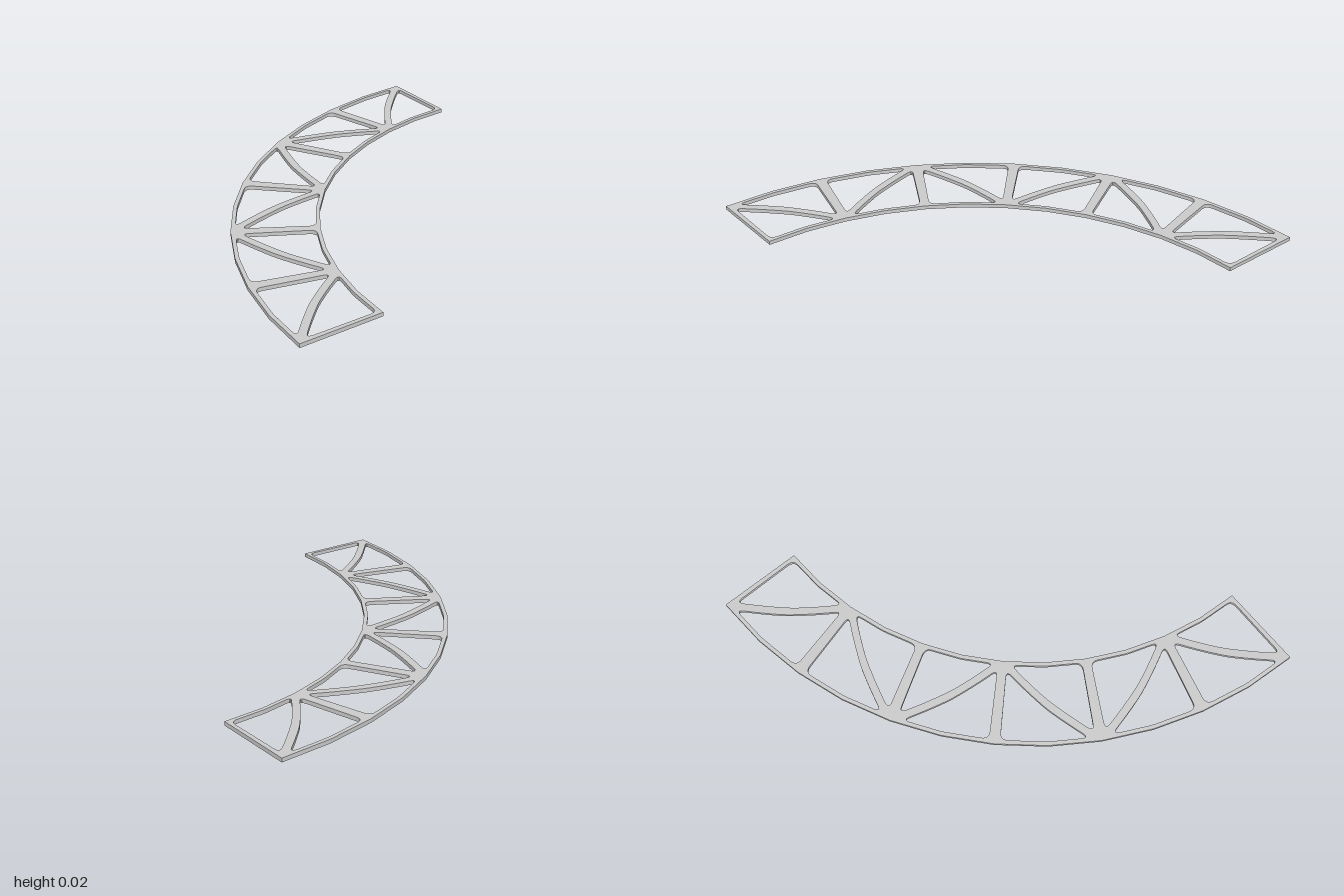
import * as THREE from 'three';

const R_OUT = 2, R_IN = 1.575;        // chord radii of the quarter ring
const PANELS = 6, STEP = Math.PI / 24; // 15 degree panels, 7.5 degree facets
const THICK = 0.02;
const W = 0.468, H = R_OUT - R_IN;     // unbent panel size
const CHORD = 0.02, POST = 0.025, END = 0.022, DIAG = 0.019; // rim and half rib widths

// Bend (angle, radius) onto the faceted quarter ring centred on x = 1, z = 1.
function bend(angle, r) {
  const k = Math.min(Math.max(Math.floor(angle / STEP), 0), 2 * PANELS - 1);
  const t = angle / STEP - k, a = k * STEP, b = a + STEP;
  const s = Math.sin(a) * (1 - t) + Math.sin(b) * t;
  const c = Math.cos(a) * (1 - t) + Math.cos(b) * t;
  return new THREE.Vector2(1 - r * s, r * c - 1);
}

// Triangle outline with rounded corners and subdivided sides.
function roundedTriangle(corners, tangent = 0.038) {
  const pts = [];
  const toward = (a, b) => a.clone().add(b.clone().sub(a).setLength(tangent));
  corners.forEach((c, i) => {
    const prev = corners[(i + 2) % 3], next = corners[(i + 1) % 3];
    const start = toward(c, prev), end = toward(c, next);
    pts.push(...new THREE.QuadraticBezierCurve(start, c, end).getPoints(5));
    const far = toward(next, c);
    for (let j = 1; j < 12; j++) pts.push(end.clone().lerp(far, j / 12));
  });
  return pts;
}

export function createModel() {
  // Faceted quarter-ring outline
  const outline = [];
  for (let i = 0; i <= 2 * PANELS; i++) outline.push(bend(i * STEP, R_OUT));
  for (let i = 2 * PANELS; i >= 0; i--) outline.push(bend(i * STEP, R_IN));
  const plate = new THREE.Shape(outline);

  // Two triangular openings per panel, leaving posts and alternating diagonals
  const shift = DIAG * Math.hypot(W, H) / W;
  const diagR = (u, side) => R_OUT - H * u / W + side * shift;
  const diagU = (r, side) => (R_OUT + side * shift - r) * W / H;
  const v = (x, y) => new THREE.Vector2(x, y);
  for (let i = 0; i < PANELS; i++) {
    const flip = i % 2 === 1;
    const post = i === 0 || i === PANELS - 1 ? END : POST;
    const rIn = R_IN + CHORD, rOut = R_OUT - CHORD;
    const below = [v(post, rIn), v(diagU(rIn, -1), rIn), v(post, diagR(post, -1))];
    const above = [v(W - POST, rOut), v(diagU(rOut, 1), rOut), v(W - POST, diagR(W - POST, 1))];
    for (const tri of [below, above]) {
      const pts = roundedTriangle(tri).map(p => {
        const f = flip ? 1 - p.x / W : p.x / W;
        return bend((i + f) * 2 * STEP, p.y);
      });
      plate.holes.push(new THREE.Path(pts));
    }
  }

  // Flat truss plate lying on the ground
  const geometry = new THREE.ExtrudeGeometry(plate, { depth: THICK, bevelEnabled: false });
  geometry.rotateX(-Math.PI / 2);
  const truss = new THREE.Mesh(geometry, new THREE.MeshStandardMaterial({ color: 0xcccccc }));
  truss.name = 'curvedTruss';

  const group = new THREE.Group();
  group.name = 'curvedTrussSegment';
  group.add(truss);
  return group;
}
